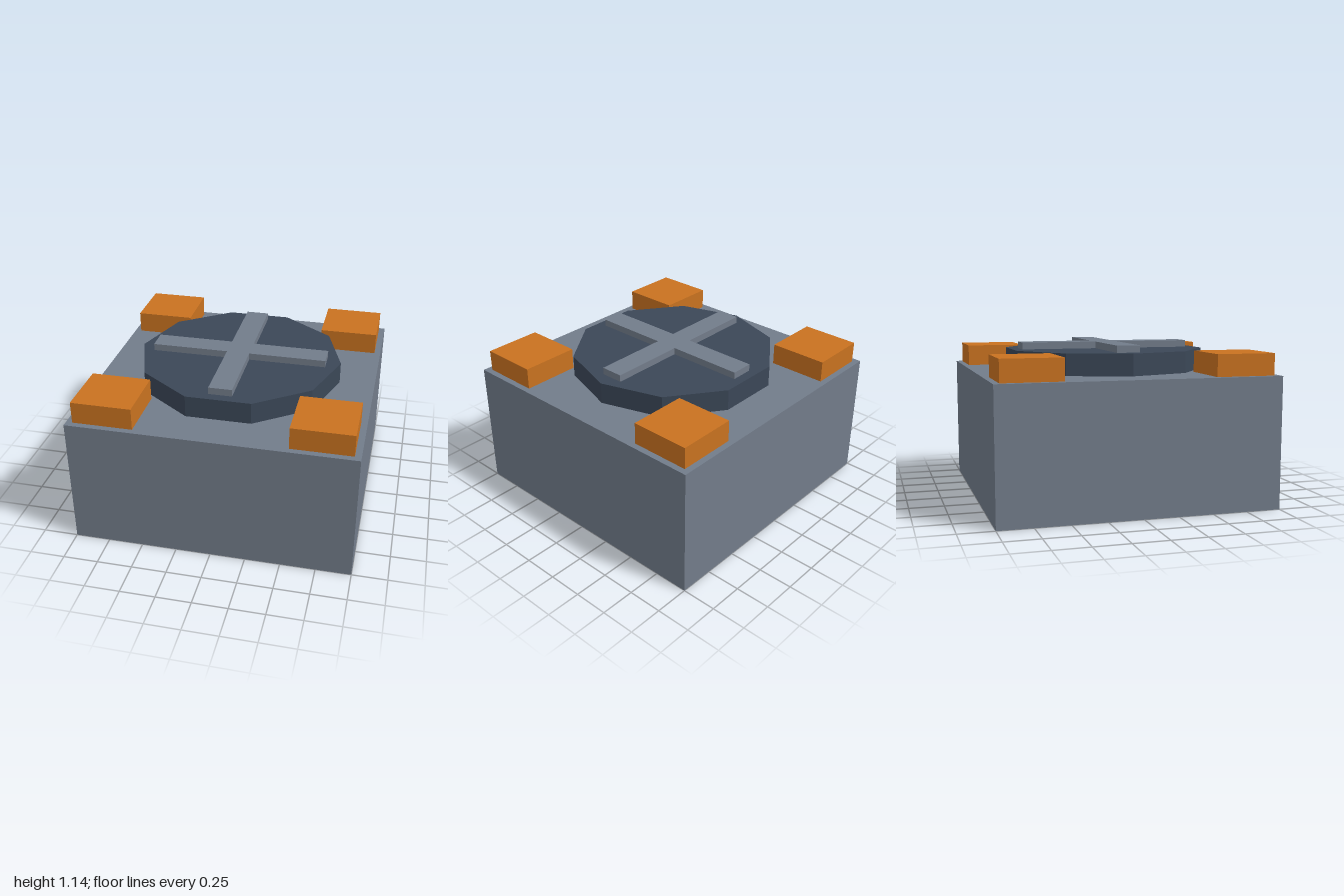
import * as THREE from 'three';

export function createModel() {
  const model = new THREE.Group();
  const grey = new THREE.MeshStandardMaterial({ color: 0x727c8a });
  grey.name = 'slate grey';
  const dark = new THREE.MeshStandardMaterial({ color: 0x3b4757 });
  dark.name = 'dark blue grey';
  const orange = new THREE.MeshStandardMaterial({ color: 0xc97220 });
  orange.name = 'orange';

  const add = (name, geometry, material, x, y, z) => {
    const mesh = new THREE.Mesh(geometry, material);
    mesh.name = name;
    mesh.position.set(x, y, z);
    model.add(mesh);
    return mesh;
  };

  const bodyTop = 0.94, padHeight = 0.155;
  const padTop = bodyTop + padHeight;

  // Main block
  add('body', new THREE.BoxGeometry(2, bodyTop, 2), grey, 0, bodyTop / 2, 0);

  // Four corner pads
  const padGeometry = new THREE.BoxGeometry(0.425, padHeight, 0.425);
  for (const x of [-1, 1]) {
    for (const z of [-1, 1]) {
      const name = (z > 0 ? 'front' : 'back') + (x > 0 ? 'Left' : 'Right') + 'Pad';
      add(name, padGeometry, orange, x * 0.743, bodyTop + padHeight / 2, z * 0.743);
    }
  }

  // Ten-sided hatch with corners on the x axis, faceted sides
  const hatch = new THREE.CylinderGeometry(0.745, 0.745, padHeight, 10, 1, false, Math.PI / 2)
    .toNonIndexed();
  hatch.computeVertexNormals();
  add('hatch', hatch, dark, 0, bodyTop + padHeight / 2, 0);

  // Raised cross on the hatch, one outline extruded upward
  const a = 0.083, b = 0.64;
  const outline = [
    [a, a], [a, b], [-a, b], [-a, a], [-b, a], [-b, -a],
    [-a, -a], [-a, -b], [a, -b], [a, -a], [b, -a], [b, a],
  ].map(([x, y]) => new THREE.Vector2(x, y));
  const cross = new THREE.ExtrudeGeometry(new THREE.Shape(outline), { depth: 0.05, bevelEnabled: false });
  cross.rotateX(-Math.PI / 2);
  add('cross', cross, grey, 0, padTop, 0);

  return model;
}
